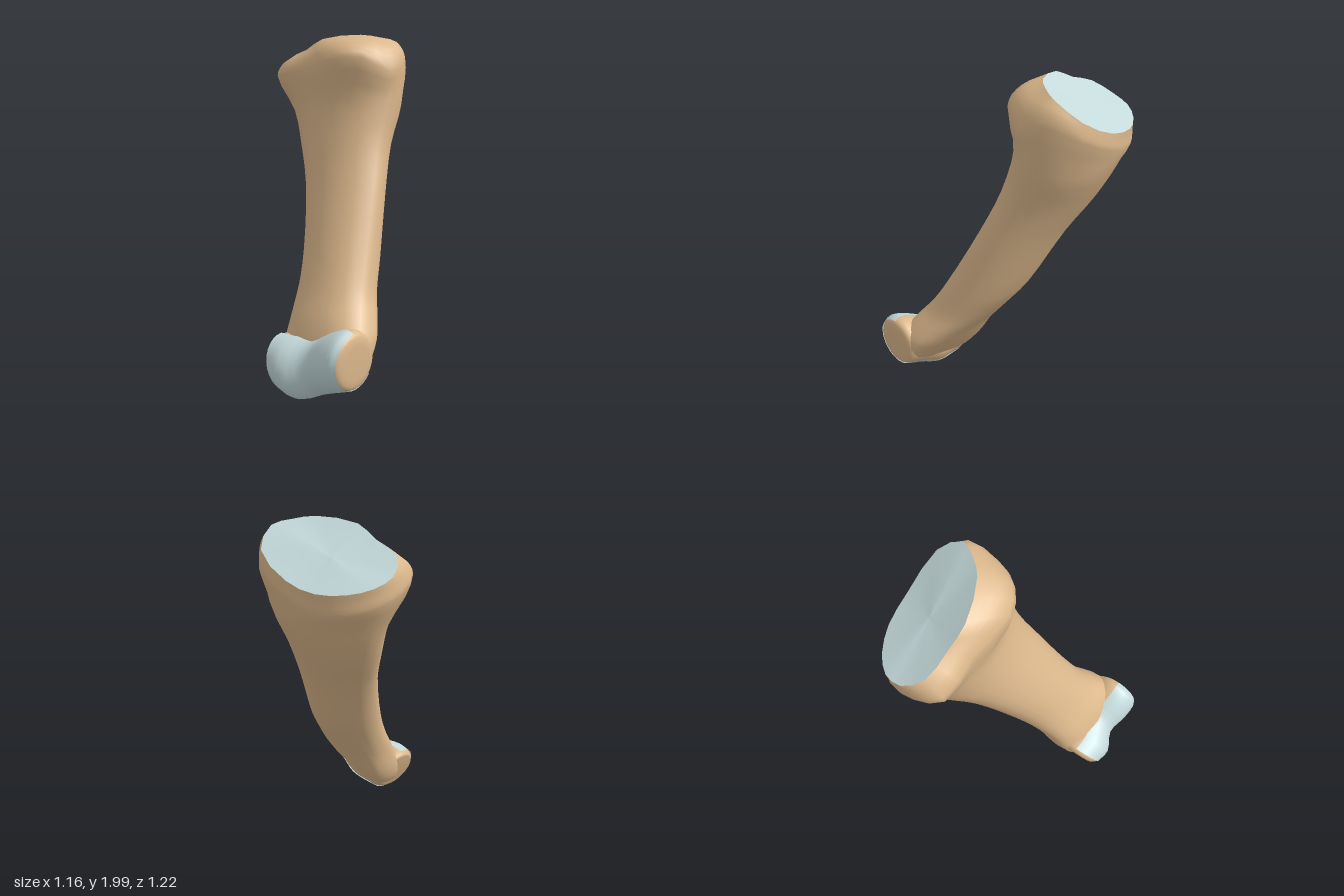
import * as THREE from 'three';

const V = (x, y, z) => new THREE.Vector3(x, y, z);
const boneMat = new THREE.MeshStandardMaterial({ color: 0xdcb88c, side: THREE.DoubleSide });
const cartilageMat = new THREE.MeshStandardMaterial({ color: 0xc4d9da, side: THREE.DoubleSide });

// Smooth a closed ring of points
const smoothRing = (pts, n) => {
  const c = new THREE.CatmullRomCurve3(pts.map(p => V(...p)), true);
  return Array.from({ length: n }, (_, j) => c.getPoint(j / n));
};

// Add rings between the given ones along smooth curves
function refine(rings, sub) {
  const steps = (rings.length - 1) * sub;
  const curves = rings[0].map((_, j) => new THREE.CatmullRomCurve3(rings.map(r => r[j])));
  return Array.from({ length: steps + 1 }, (_, i) => curves.map(c => c.getPoint(i / steps)));
}

// Skin a list of rings; optionally closed around and capped at either end
function loft(rings, { closed = true, capStart = false, capEnd = false } = {}) {
  const n = rings[0].length, pts = rings.flat(), idx = [];
  for (let i = 0; i < rings.length - 1; i++)
    for (let j = 0; j < (closed ? n : n - 1); j++) {
      const k = (j + 1) % n, a = i * n + j, b = i * n + k;
      idx.push(a, b, a + n, b, b + n, a + n);
    }
  const cap = (row, flip) => {
    const c = pts.length, s = row * n;
    pts.push(rings[row].reduce((m, p) => m.add(p), V(0, 0, 0)).divideScalar(n));
    for (let j = 0; j < n; j++) {
      const a = s + j, b = s + (j + 1) % n;
      idx.push(c, flip ? b : a, flip ? a : b);
    }
  };
  if (capStart) cap(0, true);
  if (capEnd) cap(rings.length - 1, false);
  const g = new THREE.BufferGeometry().setFromPoints(pts);
  g.setIndex(idx);
  g.computeVertexNormals();
  return g;
}

// Horizontal oval given by its extents, tilted by slopes sx, sz;
// skew leans its long axis, power below 1 squares its corners
function oval([y, x0, x1, z0, z1, sx, sz, skew, power], n) {
  const cx = (x0 + x1) / 2, cz = (z0 + z1) / 2;
  const pow = v => Math.sign(v) * Math.abs(v) ** power;
  return Array.from({ length: n }, (_, j) => {
    const t = j / n * Math.PI * 2;
    const dx = (x1 - x0) / 2 * pow(Math.cos(t)), dz = (z1 - z0) / 2 * pow(Math.sin(t + skew));
    return V(cx + dx, y + sx * dx + sz * dz, cz + dz);
  });
}

export function createModel() {
  const group = new THREE.Group();
  const add = (name, geo, mat) => {
    const m = new THREE.Mesh(geo, mat);
    m.name = name;
    group.add(m);
  };
  const N = 24;

  // Outline of the upper joint face
  const edgeRing = smoothRing([[.15, 1.96, -.46], [.1, 1.985, -.36], [.02, 2, -.27], [-.2, 1.98, -.175],
    [-.34, 1.92, -.178], [-.5, 1.87, -.19], [-.575, 1.8, -.29], [-.565, 1.76, -.4], [-.48, 1.73, -.5],
    [-.34, 1.72, -.575], [-.15, 1.75, -.6], [.08, 1.86, -.58]], N);
  // Widest outline of the head
  const rimRing = smoothRing([[.215, 1.84, -.46], [.235, 1.78, -.3], [.14, 1.86, -.14], [0, 1.85, -.055],
    [-.27, 1.8, -.085], [-.505, 1.76, -.082], [-.575, 1.7, -.23], [-.57, 1.66, -.38], [-.48, 1.62, -.5],
    [-.34, 1.61, -.57], [-.15, 1.66, -.605], [.09, 1.76, -.59]], N);
  const shoulder = edgeRing.map((p, j) => {
    const q = p.clone().lerp(rimRing[j], .65);
    q.y = THREE.MathUtils.lerp(p.y, rimRing[j].y, .38);
    return q;
  });

  // Head and shaft: y, x range, z range, slopes, skew, corner power
  const shaft = [
    [1.56, -.505, .235, -.565, -.085, .15, .2, -.1, 1],
    [1.34, -.41, .24, -.47, -.04, .08, .08, .03, 1],
    [1.1, -.285, .3, -.35, .055, 0, 0, .12, 1],
    [.74, -.13, .39, -.185, .225, 0, 0, .14, .95],
    [.56, -.06, .45, -.06, .32, 0, 0, .12, .88],
    [.43, -.015, .515, .045, .4, .1, 0, .05, .75],
    [.3, .01, .568, .14, .46, .22, 0, 0, .65],
    [.19, .06, .572, .225, .48, .25, 0, 0, .65],
    [.155, .12, .54, .265, .46, .25, 0, 0, .7],
  ].map(s => oval(s, N));
  add('shaft', loft(refine([edgeRing, shoulder, rimRing, ...shaft], 3), { capEnd: true }), boneMat);

  // Shallow dish of cartilage on the head
  const mid = edgeRing.reduce((m, p) => m.add(p), V(0, 0, 0)).divideScalar(N);
  const dish = [.02, .35, .7, 1].map(k => edgeRing.map(p => {
    const q = mid.clone().lerp(p, k);
    q.y -= .015 * (1 - k * k);
    return q;
  }));
  add('upperJointFace', loft(dish, { capStart: true }), cartilageMat);

  // Grooved lower joint, from the right knuckle to the left: centre, radius, lean
  const stations = [
    [.065, .175, .425, .135, .36],
    [.1, .175, .425, .168, .36],
    [.2, .176, .43, .175, .3],
    [.32, .205, .387, .158, .2],
    [.44, .265, .405, .165, .1],
    [.53, .302, .41, .167, .05],
    [.568, .302, .41, .152, .02],
    [.58, .3, .4, .1, 0],
  ];
  const arc = (list, from, to, n, grow) => list.map(([x, y, z, r, lean]) =>
    Array.from({ length: n }, (_, j) => {
      const t = THREE.MathUtils.degToRad(from + (to - from) * j / (n - 1));
      const up = -Math.sin(t) * (r + grow);
      return V(x - Math.sin(lean) * up, y + Math.cos(lean) * up, z + Math.cos(t) * (r + grow));
    }));
  add('knuckles', loft(refine(arc(stations, 0, 345, N, -.006), 3), { capStart: true, capEnd: true }), boneMat);

  // Cartilage band wrapping the front and underside of the knuckles
  add('lowerJointFace', loft(refine(arc(stations.slice(1, 7), -88, 140, 20, 0), 3), { closed: false }), cartilageMat);

  return group;
}
